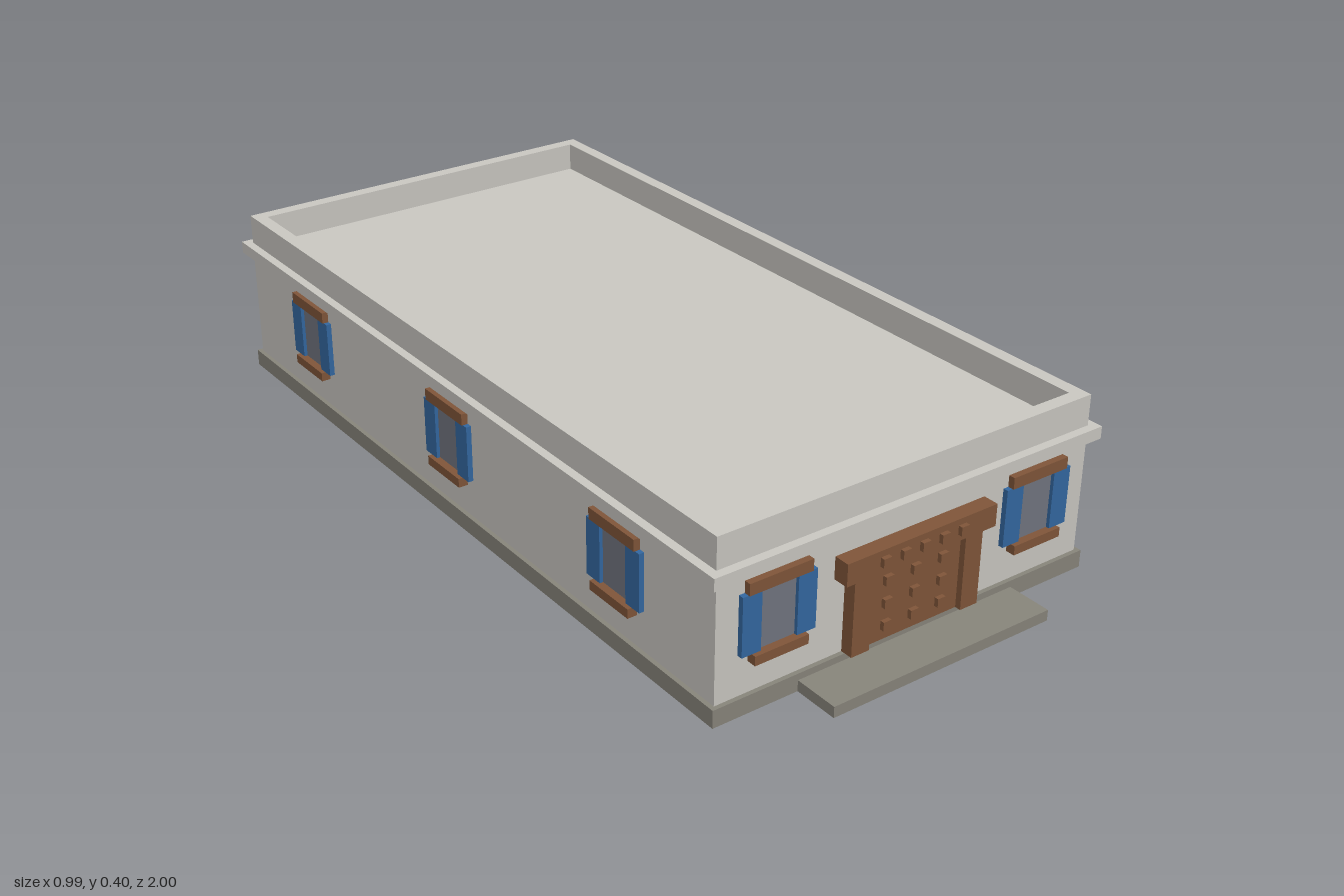
import * as THREE from 'three';

const mat = (name, color) => {
  const m = new THREE.MeshStandardMaterial({ color });
  m.name = name;
  return m;
};

export function createModel() {
  const plaster = mat('plaster', 0xc8c6c0);
  const stone = mat('stone', 0x87847a);
  const wood = mat('wood', 0x7f5539);
  const blue = mat('shutterBlue', 0x33679f);
  const glass = mat('glass', 0x70747f);

  const model = new THREE.Group();
  model.name = 'building';

  // Box given by its minimum and maximum along each axis
  const box = (parent, name, material, x0, x1, y0, y1, z0, z1) => {
    const mesh = new THREE.Mesh(new THREE.BoxGeometry(x1 - x0, y1 - y0, z1 - z0), material);
    mesh.position.set((x0 + x1) / 2, (y0 + y1) / 2, (z0 + z1) / 2);
    mesh.name = name;
    parent.add(mesh);
    return mesh;
  };

  const X = 0.473, FRONT = 0.885, BACK = -0.975, ROOF = 0.335, TOP = 0.403;

  // Plinth, walls with flat roof, and entrance step
  box(model, 'plinth', stone, -X - 0.01, X + 0.01, 0, 0.04, BACK - 0.01, FRONT + 0.01);
  box(model, 'walls', plaster, -X, X, 0.04, ROOF, BACK, FRONT);
  box(model, 'entranceStep', stone, -0.28, 0.28, 0, 0.025, FRONT + 0.01, 1);

  // Rectangular ring extruded upward
  const ring = (name, hx, z0, z1, inset, y0, y1) => {
    const rect = (P, d) => {
      const p = new P();
      p.moveTo(-hx + d, -z1 + d);
      p.lineTo(hx - d, -z1 + d);
      p.lineTo(hx - d, -z0 - d);
      p.lineTo(-hx + d, -z0 - d);
      p.closePath();
      return p;
    };
    const shape = rect(THREE.Shape, 0);
    shape.holes.push(rect(THREE.Path, inset));
    const geo = new THREE.ExtrudeGeometry(shape, { depth: y1 - y0, bevelEnabled: false });
    geo.rotateX(-Math.PI / 2);
    const mesh = new THREE.Mesh(geo, plaster);
    mesh.position.y = y0;
    mesh.name = name;
    model.add(mesh);
  };
  ring('parapet', X, BACK, FRONT, 0.031, ROOF, TOP);
  ring('cornice', X + 0.02, BACK - 0.02, FRONT + 0.02, 0.022, 0.305, 0.333);

  // Window: local z = 0 lies on the wall, facing +z
  const addWindow = (x, z, angle) => {
    const w = new THREE.Group();
    w.name = 'window';
    box(w, 'pane', glass, -0.043, 0.043, 0.13, 0.262, -0.004, 0.004);
    for (const s of [-1, 1]) {
      const a = s * 0.043, b = s * 0.088;
      box(w, 'shutter', blue, Math.min(a, b), Math.max(a, b), 0.131, 0.262, -0.002, 0.012);
    }
    box(w, 'lintel', wood, -0.075, 0.075, 0.262, 0.288, -0.002, 0.015);
    box(w, 'sill', wood, -0.064, 0.064, 0.11, 0.131, -0.002, 0.022);
    w.position.set(x, 0, z);
    w.rotation.y = angle;
    model.add(w);
  };
  for (const s of [-1, 1]) {
    addWindow(s * 0.332, FRONT, 0);
    addWindow(s * 0.25, BACK, Math.PI);
    for (const z of [0.578, -0.043, -0.667]) addWindow(s * X, z, s * Math.PI / 2);
  }

  // Entrance: door leaf, posts, header and square studs
  const door = new THREE.Group();
  door.name = 'entrance';
  model.add(door);
  box(door, 'doorLeaf', wood, -0.12, 0.12, 0.04, 0.213, FRONT, 0.9);
  box(door, 'leftPost', wood, 0.12, 0.165, 0.04, 0.213, FRONT, 0.914);
  box(door, 'rightPost', wood, -0.165, -0.12, 0.04, 0.213, FRONT, 0.914);
  box(door, 'header', wood, -0.192, 0.192, 0.212, 0.262, FRONT, 0.921);
  const stud = (x, y, z) =>
    box(door, 'stud', wood, x - 0.01, x + 0.01, y - 0.01, y + 0.01, z - 0.002, z + 0.01);
  for (let i = -2; i <= 2; i++) stud(i * 0.05, 0.238, 0.921);
  for (let i = -1; i <= 1; i++)
    for (let j = -1; j <= 1; j++) stud(i * 0.071, 0.126 + j * 0.051, 0.9);

  return model;
}
